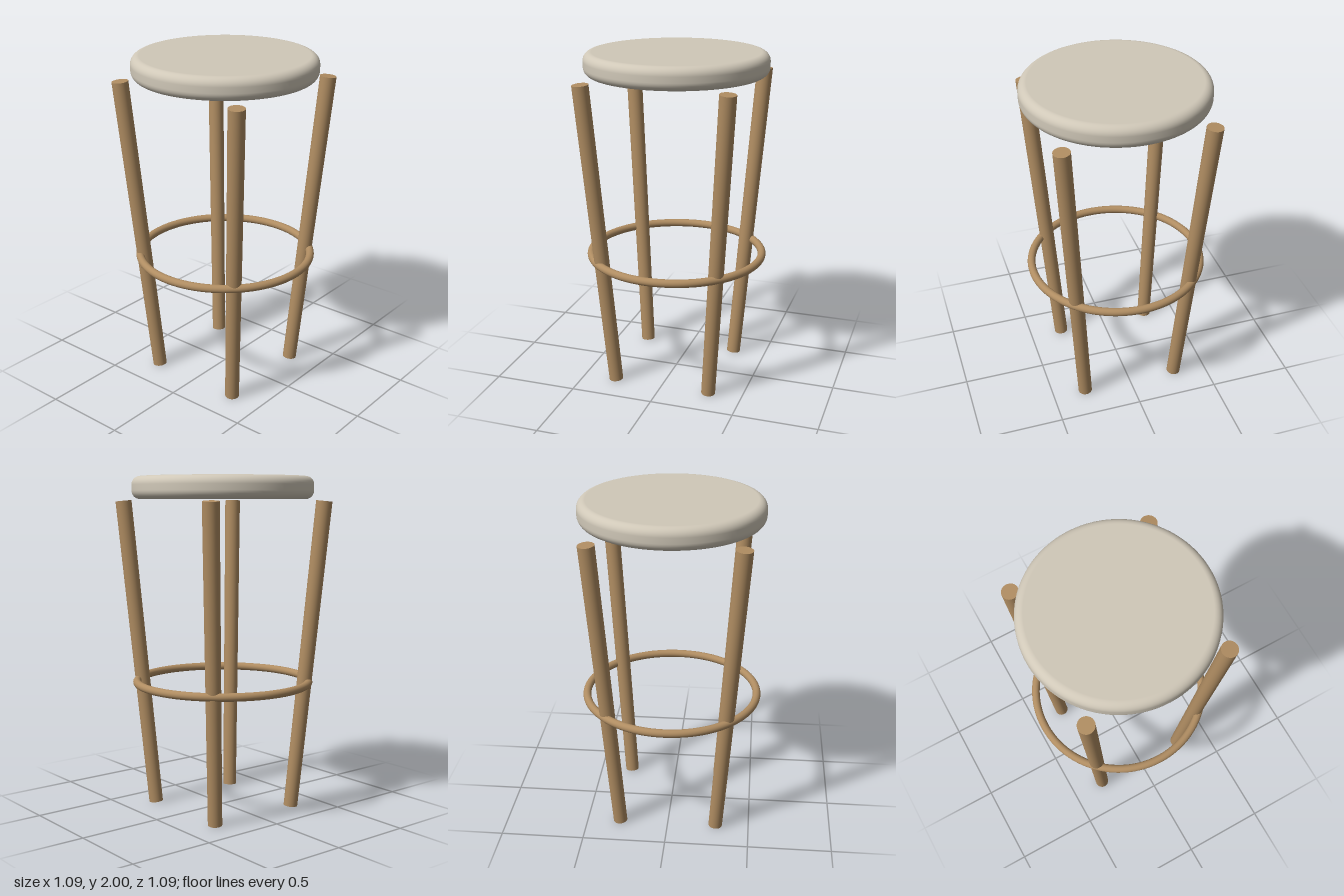
import * as THREE from 'three';

const wood = new THREE.MeshStandardMaterial({ color: 0xb08d62 });
const fabric = new THREE.MeshStandardMaterial({ color: 0xd0c8b8 });

// Round cushion: flat faces joined by a softly rounded rim
function makeSeat() {
  const R = 0.538, bottom = 1.866, top = 2, r = 0.05;
  const points = [new THREE.Vector2(0, bottom)];
  const corner = (cy, start) => {
    for (let i = 0; i <= 8; i++) {
      const a = start + (i / 8) * Math.PI / 2;
      points.push(new THREE.Vector2(R - r + r * Math.cos(a), cy + r * Math.sin(a)));
    }
  };
  corner(bottom + r, -Math.PI / 2);
  corner(top - r, 0);
  points.push(new THREE.Vector2(0, top));
  const seat = new THREE.Mesh(new THREE.LatheGeometry(points, 96), fabric);
  seat.name = 'seat';
  return seat;
}

// Tapered round leg leaning outwards towards its corner
function makeLeg(sx, sz) {
  const foot = new THREE.Vector3(sx * 0.296, 0.004, sz * 0.296);
  const head = new THREE.Vector3(sx * 0.423, 1.856, sz * 0.423);
  const axis = head.clone().sub(foot);
  const leg = new THREE.Mesh(new THREE.CylinderGeometry(0.048, 0.042, axis.length(), 32), wood);
  leg.position.copy(foot).add(head).multiplyScalar(0.5);
  leg.quaternion.setFromUnitVectors(new THREE.Vector3(0, 1, 0), axis.normalize());
  leg.name = (sz > 0 ? 'front' : 'back') + (sx > 0 ? 'Left' : 'Right') + 'Leg';
  return leg;
}

export function createModel() {
  const stool = new THREE.Group();
  stool.name = 'barStool';
  stool.add(makeSeat());
  for (const sx of [-1, 1]) for (const sz of [-1, 1]) stool.add(makeLeg(sx, sz));

  // Foot ring passing through the four legs
  const ring = new THREE.Mesh(new THREE.TorusGeometry(0.519, 0.024, 20, 96), wood);
  ring.rotation.x = Math.PI / 2;
  ring.position.y = 0.775;
  ring.name = 'footRing';
  stool.add(ring);
  return stool;
}
